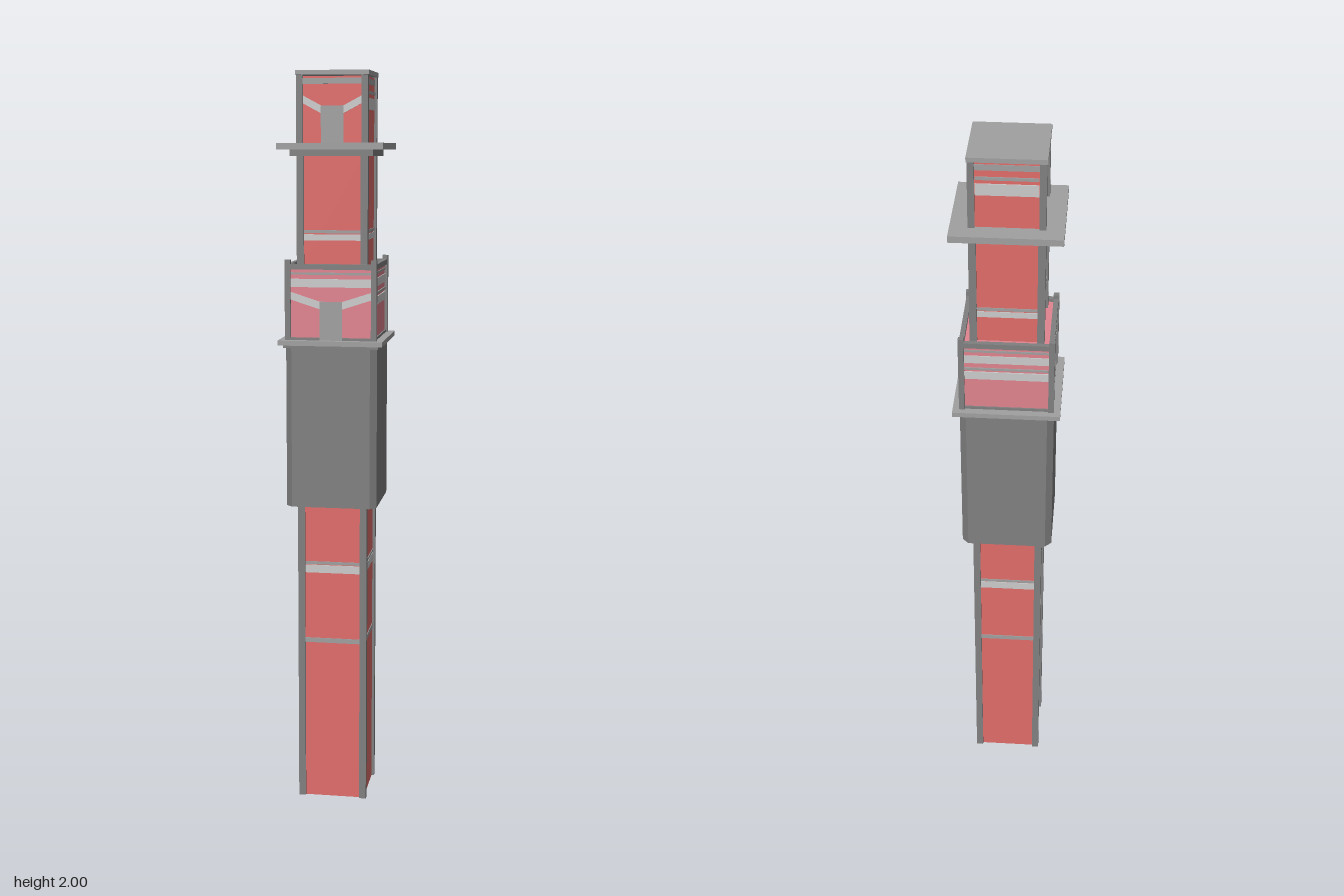
import * as THREE from 'three';

const mat = (color) => new THREE.MeshStandardMaterial({ color, flatShading: true });

export function createModel() {
  const tower = new THREE.Group();
  const red = mat(0xe06c6a), pink = mat(0xe0848f), light = mat(0xcccccc);
  const steel = mat(0x808080), grey = mat(0xa0a0a0);

  const add = (name, geometry, material, x = 0, y = 0, z = 0) => {
    const mesh = new THREE.Mesh(geometry, material);
    mesh.name = name;
    mesh.position.set(x, y, z);
    tower.add(mesh);
    return mesh;
  };
  // square slab of half width h between two heights
  const slab = (name, h, y0, y1, material) =>
    add(name, new THREE.BoxGeometry(2 * h, y1 - y0, 2 * h), material, 0, (y0 + y1) / 2, 0);
  // four corner posts filling the square from inner to outer
  const posts = (name, inner, outer, y0, y1) => {
    const w = outer - inner, c = (inner + outer) / 2;
    for (const x of [-c, c]) for (const z of [-c, c])
      add(name, new THREE.BoxGeometry(w, y1 - y0, w), steel, x, (y0 + y1) / 2, z);
  };
  // four edge rails joining the posts
  const rails = (name, inner, outer, y0, y1) => {
    const w = outer - inner, c = (inner + outer) / 2, y = (y0 + y1) / 2;
    for (const s of [-c, c]) {
      add(name, new THREE.BoxGeometry(2 * inner, y1 - y0, w), steel, 0, y, s);
      add(name, new THREE.BoxGeometry(w, y1 - y0, 2 * inner), steel, s, y, 0);
    }
  };
  // stripe on the left, right and back faces only
  const sideStripe = (h, half, y0, y1, material) => {
    const t = 0.004, y = (y0 + y1) / 2;
    for (const x of [-h, h])
      add('sideStripe', new THREE.BoxGeometry(t, y1 - y0, 2 * half), material, x, y, 0);
    add('backStripe', new THREE.BoxGeometry(2 * half, y1 - y0, t), material, 0, y, -h);
  };
  // door with a stripe sloping down to it from each side
  const doorFront = (z, half, y0, top, stripeY) => {
    add('door', new THREE.BoxGeometry(0.06, top - y0, 0.008), grey, 0, (y0 + top) / 2, z);
    for (const s of [-1, 1]) {
      const shape = new THREE.Shape([[half, stripeY], [0.03, stripeY - 0.025],
        [0.03, stripeY - 0.045], [half, stripeY - 0.02]]
        .map(([x, y]) => new THREE.Vector2(s * x, y)));
      add('slopedStripe', new THREE.ExtrudeGeometry(shape,
        { depth: 0.004, bevelEnabled: false }), light, 0, 0, z - 0.002);
    }
  };

  // lower shaft
  slab('lowerShaft', 0.088, 0, 0.85, red);
  posts('lowerPost', 0.076, 0.095, 0, 0.85);
  slab('lowerStripe', 0.09, 0.45, 0.463, grey);
  slab('lowerStripe', 0.09, 0.65, 0.672, light);
  slab('lowerStripe', 0.09, 0.674, 0.682, grey);

  // wide casing with chamfered corners
  const a = 0.123, b = 0.106;
  const outline = new THREE.Shape([[a, -b], [a, b], [b, a], [-b, a],
    [-a, b], [-a, -b], [-b, -a], [b, -a]].map(([x, y]) => new THREE.Vector2(x, y)));
  const casing = new THREE.ExtrudeGeometry(outline, { depth: 0.44, bevelEnabled: false });
  casing.rotateX(-Math.PI / 2);
  add('casing', casing, steel, 0, 0.842, 0);
  slab('casingCornice', 0.128, 1.276, 1.285, steel);
  slab('lowerPlatform', 0.14, 1.284, 1.297, grey);

  // lower cabin
  slab('lowerCabin', 0.115, 1.297, 1.49, pink);
  posts('cabinPost', 0.108, 0.123, 1.297, 1.51);
  rails('cabinRail', 0.108, 0.121, 1.485, 1.499);
  rails('cabinSill', 0.108, 0.119, 1.297, 1.304);
  slab('cabinStripe', 0.117, 1.438, 1.46, light);
  slab('cabinStripe', 0.117, 1.471, 1.477, grey);
  sideStripe(0.116, 0.108, 1.39, 1.412, light);
  sideStripe(0.116, 0.108, 1.418, 1.424, grey);
  doorFront(0.116, 0.108, 1.297, 1.4, 1.425);

  // upper shaft
  slab('upperShaft', 0.088, 1.48, 1.79, red);
  posts('upperPost', 0.076, 0.095, 1.48, 1.785);
  slab('upperStripe', 0.09, 1.56, 1.576, light);
  slab('upperStripe', 0.09, 1.579, 1.587, grey);

  // overhanging platform
  slab('platformBracket', 0.11, 1.78, 1.798, steel);
  slab('upperPlatform', 0.14, 1.797, 1.814, grey);

  // upper cabin
  slab('upperCabin', 0.088, 1.81, 1.985, red);
  posts('upperCabinPost', 0.078, 0.095, 1.814, 1.99);
  slab('upperCabinStripe', 0.09, 1.965, 1.98, grey);
  sideStripe(0.089, 0.077, 1.9, 1.93, light);
  sideStripe(0.089, 0.077, 1.94, 1.948, grey);
  doorFront(0.089, 0.077, 1.814, 1.91, 1.935);
  slab('roof', 0.097, 1.988, 2, grey);

  return tower;
}
